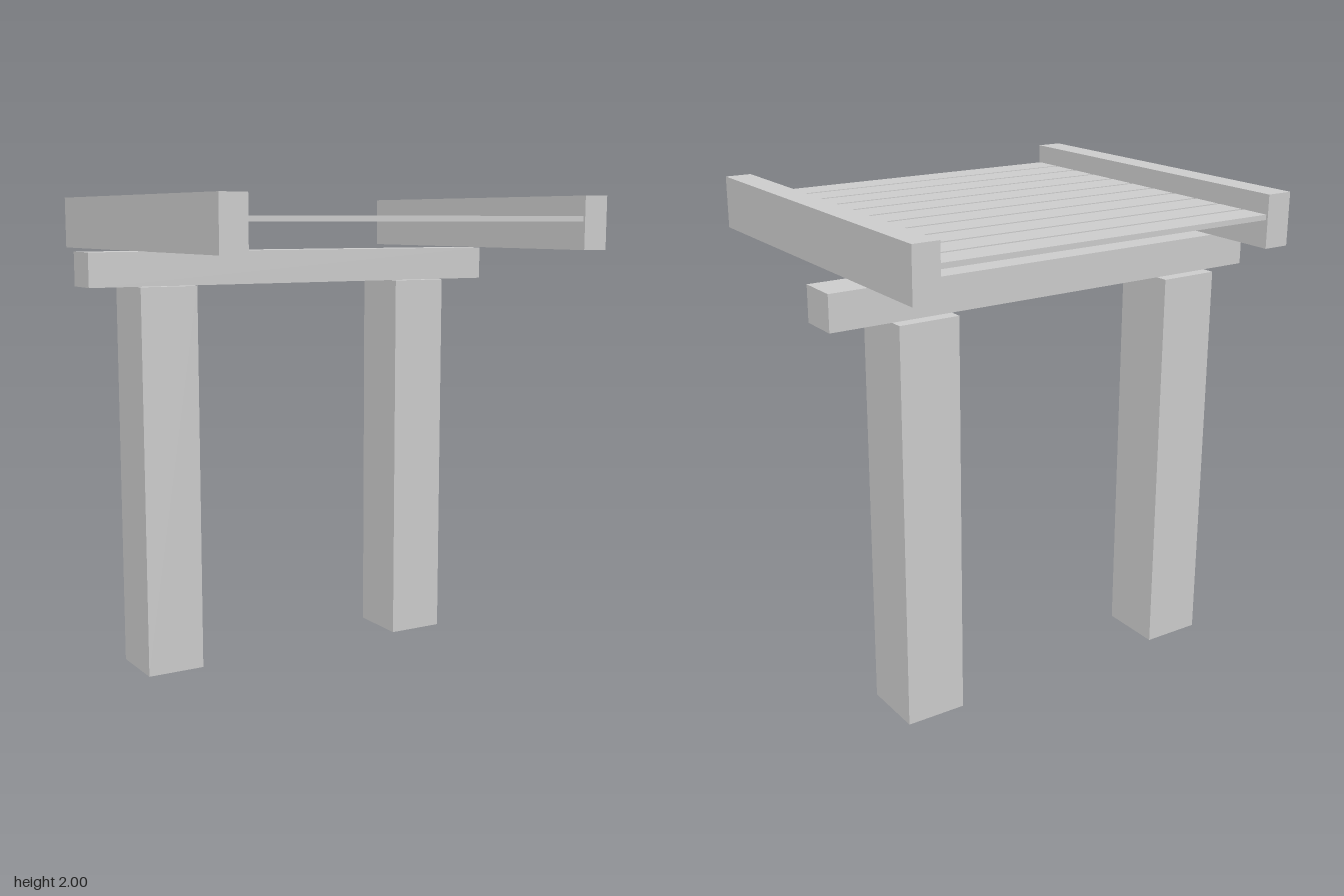
import * as THREE from 'three';

export function createModel() {
  const model = new THREE.Group();
  model.name = 'slattedPlatform';
  const material = new THREE.MeshStandardMaterial({ color: 0xcccccc, flatShading: true });

  // Box given by its [min, max] extent on each axis
  function block(name, [x0, x1], [y0, y1], [z0, z1]) {
    const mesh = new THREE.Mesh(new THREE.BoxGeometry(x1 - x0, y1 - y0, z1 - z0), material);
    mesh.position.set((x0 + x1) / 2, (y0 + y1) / 2, (z0 + z1) / 2);
    mesh.name = name;
    model.add(mesh);
  }

  // Two square posts
  block('rightPost', [-0.763, -0.513], [0, 1.637], [-0.472, -0.204]);
  block('leftPost', [0.461, 0.711], [0, 1.637], [-0.472, -0.204]);

  // Cross beam resting on the posts
  block('crossBeam', [-0.963, 0.96], [1.637, 1.778], [-0.42, -0.255]);

  // Side rails holding the slats
  block('rightRail', [-0.874, -0.763], [1.788, 2], [-0.766, 0.766]);
  block('leftRail', [0.713, 0.823], [1.788, 2], [-0.766, 0.766]);

  // Evenly spaced thin slats between the rails
  const count = 11, pitch = 0.139, halfWidth = 0.062;
  for (let i = 0; i < count; i++) {
    const z = (i - (count - 1) / 2) * pitch;
    block(`slat${i + 1}`, [-0.763, 0.713], [1.9, 1.921], [z - halfWidth, z + halfWidth]);
  }

  return model;
}
